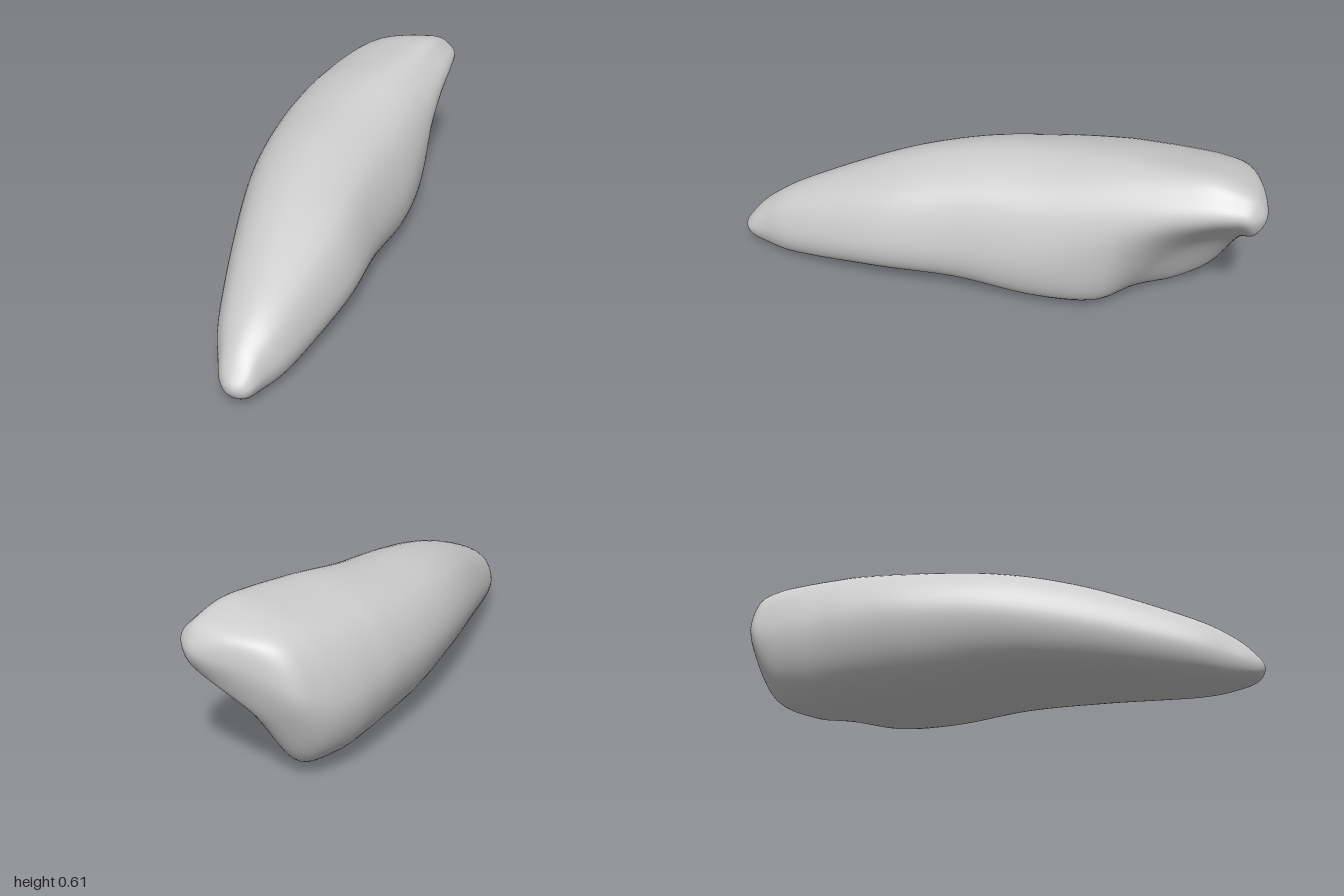
import * as THREE from 'three';
import { mergeVertices } from 'three/addons/utils/BufferGeometryUtils.js';

// Cross-sections from the narrow front tip to the broad back end:
// [z, left x, its y, right x, its y, bottom y, its x, top y, its x, lower right fullness]
const SECTIONS = [
  [0.975, 0.11, 0.08, 0.215, 0.08, 0.035, 0.17, 0.125, 0.155, 0.41],
  [0.9, 0.06, 0.1, 0.24, 0.1, 0.015, 0.18, 0.2, 0.145, 0.45],
  [0.75, -0.02, 0.14, 0.28, 0.13, 0.011, 0.18, 0.29, 0.13, 0.52],
  [0.4, -0.15, 0.22, 0.315, 0.19, 0.035, 0.14, 0.43, 0.06, 0.58],
  [0.1, -0.245, 0.27, 0.292, 0.22, 0.033, 0.1, 0.505, 0.02, 0.6],
  [-0.2, -0.303, 0.29, 0.288, 0.24, 0.004, 0.06, 0.545, 0.01, 0.62],
  [-0.43, -0.318, 0.3, 0.265, 0.32, 0, 0.02, 0.578, 0.03, 0.6],
  [-0.55, -0.317, 0.3, 0.248, 0.38, 0.004, -0.02, 0.588, 0.045, 0.3],
  [-0.67, -0.308, 0.3, 0.232, 0.43, 0.016, -0.06, 0.597, 0.06, 0.02],
  [-0.8, -0.275, 0.32, 0.215, 0.465, 0.08, -0.11, 0.603, 0.075, -0.06],
  [-0.9, -0.215, 0.38, 0.2, 0.485, 0.25, -0.08, 0.582, 0.085, 0.1],
  [-0.965, -0.06, 0.45, 0.178, 0.485, 0.38, 0.05, 0.548, 0.1, 0.36],
];
const FRONT_POLE = new THREE.Vector3(0.165, 0.08, 1);
const BACK_POLE = new THREE.Vector3(0.1, 0.475, -1);

// Eight outline points, counterclockwise from the right-hand extreme
function outline([z, lx, ly, rx, ry, by, bx, ty, tx, full]) {
  const p = (x, y) => new THREE.Vector3(x, y, z);
  const diagonal = (x1, y1, x2, y2, cx, cy, k) =>
    p((x1 + x2) / 2, (y1 + y2) / 2).lerp(p(cx, cy), k);
  return [
    p(rx, ry), diagonal(rx, ry, tx, ty, rx, ty, 0.41),
    p(tx, ty), diagonal(tx, ty, lx, ly, lx, ty, 0.45),
    p(lx, ly), diagonal(lx, ly, bx, by, lx, by, 0.46),
    p(bx, by), diagonal(bx, by, rx, ry, rx, by, full),
  ];
}

function bodyGeometry(rings, sides) {
  const outlines = SECTIONS.map(outline);
  // Opposite lengthwise lines join in closed loops, which rounds both ends
  const loops = [0, 1, 2, 3].map((k) => new THREE.CatmullRomCurve3([
    FRONT_POLE, ...outlines.map((o) => o[k]),
    BACK_POLE, ...outlines.map((o) => o[k + 4]).reverse(),
  ], true, 'catmullrom', 0.5));

  const positions = [];
  const indices = [];
  for (let i = 0; i <= rings; i++) {
    const t = i / rings / 2;
    const points = [...loops.map((c) => c.getPoint(t)), ...loops.map((c) => c.getPoint(1 - t))];
    const ring = new THREE.CatmullRomCurve3(points, true, 'catmullrom', 0.5);
    for (let j = 0; j < sides; j++) {
      const p = i === 0 ? FRONT_POLE : i === rings ? BACK_POLE : ring.getPoint(j / sides);
      positions.push(p.x, p.y, p.z);
      if (i === rings) continue;
      const a = i * sides + j;
      const b = i * sides + (j + 1) % sides;
      // The rings next to the poles need only one triangle per side
      if (i > 0) indices.push(a, a + sides, b);
      if (i < rings - 1) indices.push(b, a + sides, b + sides);
    }
  }
  const geometry = new THREE.BufferGeometry();
  geometry.setAttribute('position', new THREE.Float32BufferAttribute(positions, 3));
  geometry.setIndex(indices);
  const merged = mergeVertices(geometry, 1e-5);
  merged.computeVertexNormals();
  return merged;
}

export function createModel() {
  const group = new THREE.Group();
  group.name = 'taperedStone';
  const grey = new THREE.MeshStandardMaterial({ color: 0xcccccc });
  grey.name = 'light grey';
  const body = new THREE.Mesh(bodyGeometry(104, 64), grey);
  body.name = 'body';
  group.add(body);
  return group;
}
